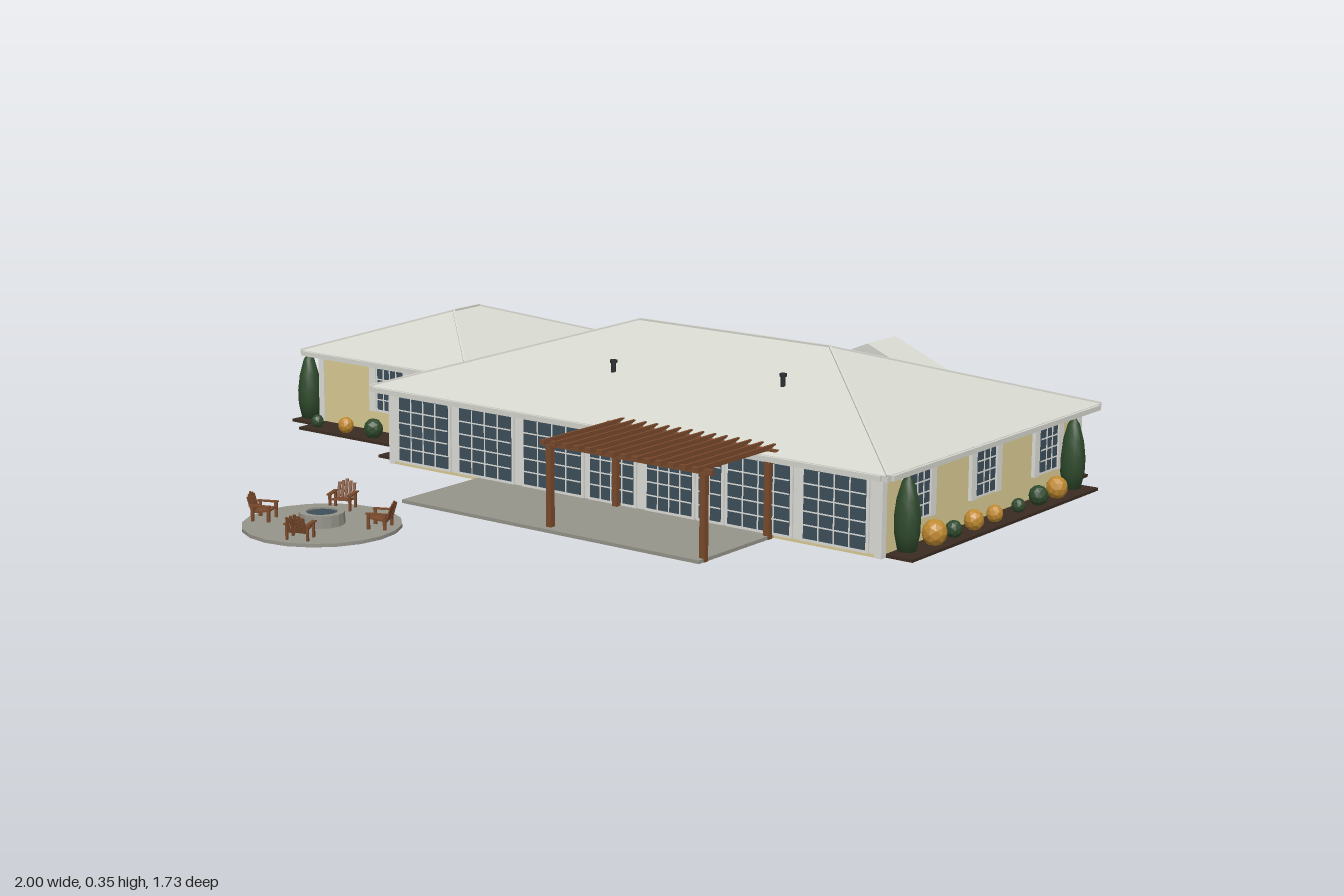
import * as THREE from 'three';

const mat = (name, color) => Object.assign(new THREE.MeshStandardMaterial({ color }), { name });
const M = {
  roof: mat('roof grey', 0xd6d7cf), wall: mat('cream yellow', 0xdccd94), trim: mat('trim white', 0xdededa),
  glass: mat('window blue', 0x3e4f5b), stone: mat('paving stone', 0x96948b), wood: mat('brown wood', 0x7a4a2c),
  soil: mat('dark mulch', 0x3b2c22), green: mat('leaf green', 0x2f4a2c), gold: mat('golden shrub', 0xc08a30),
  metal: mat('dark metal', 0x2b2f32),
};

function add(parent, name, geo, material, x = 0, y = 0, z = 0) {
  const m = new THREE.Mesh(geo, material);
  m.name = name;
  m.position.set(x, y, z);
  parent.add(m);
  return m;
}
function group(parent, name, x = 0, y = 0, z = 0, ry = 0) {
  const g = new THREE.Group();
  g.name = name;
  g.position.set(x, y, z);
  g.rotation.y = ry;
  parent.add(g);
  return g;
}
// Box given by its two extremes
const span = (p, name, m, x0, x1, y0, y1, z0, z1) =>
  add(p, name, new THREE.BoxGeometry(x1 - x0, y1 - y0, z1 - z0), m, (x0 + x1) / 2, (y0 + y1) / 2, (z0 + z1) / 2);

// Square bar laid between two points
function bar(p, name, m, a, b, w) {
  const A = new THREE.Vector3(...a), B = new THREE.Vector3(...b);
  const o = add(p, name, new THREE.BoxGeometry(w, w, A.distanceTo(B)), m, ...A.clone().add(B).multiplyScalar(0.5));
  o.lookAt(B);
}

// Four thin walls, open below
function walls(p, name, x0, x1, z0, z1, h) {
  const g = group(p, name), t = 0.008;
  span(g, 'frontWall', M.wall, x0, x1, 0, h, z1 - t, z1);
  span(g, 'backWall', M.wall, x0, x1, 0, h, z0, z0 + t);
  span(g, 'rightWall', M.wall, x0, x0 + t, 0, h, z0 + t, z1 - t);
  span(g, 'leftWall', M.wall, x1 - t, x1, 0, h, z0 + t, z1 - t);
  for (const x of [x0, x1]) for (const z of [z0, z1])
    add(g, 'cornerBoard', new THREE.BoxGeometry(0.018, h, 0.018), M.trim, x - Math.sign(x - (x0 + x1) / 2) * 0.006, h / 2, z - Math.sign(z - (z0 + z1) / 2) * 0.006);
}

// Hip roof: four slopes, eave slab, gutters and hip caps; r0 and r1 are the ridge ends
function hipRoof(p, name, x0, x1, z0, z1, r0, r1) {
  const g = group(p, name), y = 0.194;
  const a = [x0, y, z1], b = [x1, y, z1], c = [x1, y, z0], d = [x0, y, z0];
  const alongX = r0[0] !== r1[0];
  const tris = alongX
    ? [a, b, r1, a, r1, r0, b, c, r1, c, d, r0, c, r0, r1, d, a, r0]
    : [a, b, r1, b, c, r0, b, r0, r1, c, d, r0, d, a, r1, d, r1, r0];
  const geo = new THREE.BufferGeometry();
  geo.setAttribute('position', new THREE.Float32BufferAttribute(tris.flat(), 3));
  geo.computeVertexNormals();
  add(g, 'roofSlopes', geo, M.roof);
  span(g, 'eaves', M.roof, x0, x1, 0.18, y, z0, z1);
  for (const [z, s] of [[z0, -1], [z1, 1]])
    add(g, 'gutter', new THREE.BoxGeometry(x1 - x0 - 0.03, 0.012, 0.008), M.roof, (x0 + x1) / 2, 0.187, z + s * 0.003);
  for (const [x, s] of [[x0, -1], [x1, 1]])
    add(g, 'gutter', new THREE.BoxGeometry(0.008, 0.012, z1 - z0 - 0.03), M.roof, x + s * 0.003, 0.187, (z0 + z1) / 2);
  bar(g, 'ridgeCap', M.roof, r0, r1, 0.007);
  const ends = alongX ? [r0, r1, r1, r0] : [r1, r1, r0, r0];
  [a, b, c, d].forEach((q, i) => bar(g, 'hipCap', M.roof, q, ends[i], 0.006));
}

// Glazed opening facing +z, with glazing bars and optional shutters
function glazing(p, name, x, y, z, ry, w, h, cols, rows, shutters) {
  const g = group(p, name, x, y, z, ry);
  add(g, 'frame', new THREE.BoxGeometry(w + 0.014, h + 0.014, 0.006), M.trim, 0, 0, 0.003);
  add(g, 'glass', new THREE.BoxGeometry(w, h, 0.003), M.glass, 0, 0, 0.007);
  for (let i = 1; i < cols; i++)
    add(g, 'glazingBar', new THREE.BoxGeometry(0.003, h, 0.003), M.trim, -w / 2 + i * w / cols, 0, 0.0085);
  for (let i = 1; i < rows; i++)
    add(g, 'glazingBar', new THREE.BoxGeometry(w, 0.003, 0.003), M.trim, 0, -h / 2 + i * h / rows, 0.0085);
  if (shutters) for (const s of [-1, 1])
    add(g, 'shutter', new THREE.BoxGeometry(0.022, h + 0.014, 0.009), M.trim, s * (w / 2 + 0.017), 0, 0.005);
}

function lantern(p, x, y, z) {
  add(p, 'lantern', new THREE.BoxGeometry(0.01, 0.022, 0.012), M.metal, x, y, z - 0.006);
}

function shrub(p, x, z, r, m) {
  const s = add(p, 'shrub', new THREE.IcosahedronGeometry(r, 1).toNonIndexed(), m, x, r * 0.85 + 0.006, z);
  s.geometry.computeVertexNormals();
  s.rotation.y = x * 17 + z * 31;
  s.scale.set(0.92, 1, 0.92);
}

function cypress(p, x, z) {
  const prof = [[0, 0.006], [0.021, 0.012], [0.029, 0.05], [0.03, 0.085], [0.025, 0.125], [0.014, 0.165], [0, 0.186]];
  const geo = new THREE.LatheGeometry(prof.map(q => new THREE.Vector2(...q)), 10);
  add(p, 'cypress', geo, M.green, x, 0, z);
}

// Slatted garden chair facing +z
function chair(p, x, z, ry) {
  const g = group(p, 'gardenChair', x, 0.008, z, ry);
  const seat = add(g, 'seat', new THREE.BoxGeometry(0.04, 0.004, 0.042), M.wood, 0, 0.022, 0.002);
  seat.rotation.x = -0.15;
  for (const s of [-1, 1]) {
    add(g, 'armrest', new THREE.BoxGeometry(0.01, 0.003, 0.05), M.wood, s * 0.025, 0.036, 0);
    add(g, 'frontLeg', new THREE.BoxGeometry(0.005, 0.035, 0.007), M.wood, s * 0.024, 0.0175, 0.02);
    add(g, 'rearLeg', new THREE.BoxGeometry(0.005, 0.035, 0.007), M.wood, s * 0.024, 0.0175, -0.018);
  }
  for (let i = -2; i <= 2; i++) {
    const h = 0.046 - Math.abs(i) * 0.004;
    const slat = add(g, 'backSlat', new THREE.BoxGeometry(0.007, h, 0.003), M.wood, i * 0.009, 0.017 + h / 2, -0.026);
    slat.rotation.x = -0.3;
  }
}

export function createModel() {
  const root = new THREE.Group();
  root.name = 'house';
  const PI = Math.PI;

  // Main house and garage wing
  walls(root, 'mainWalls', -0.485, 0.93, -0.725, 0.135, 0.185);
  walls(root, 'garageWalls', -0.93, -0.487, -0.68, -0.085, 0.185);
  hipRoof(root, 'mainRoof', -0.52, 0.965, -0.76, 0.17, [-0.05, 0.345, -0.295], [0.505, 0.345, -0.295]);
  hipRoof(root, 'garageRoof', -0.965, -0.395, -0.71, -0.05, [-0.68, 0.29, -0.425], [-0.68, 0.29, -0.325]);

  // Glazed front
  span(root, 'frontPanelling', M.trim, -0.47, 0.915, 0.008, 0.18, 0.134, 0.138);
  for (const [x, w] of [[-0.37, 0.155], [-0.175, 0.16], [0.03, 0.17], [0.205, 0.125], [0.37, 0.125], [0.483, 0.06], [0.615, 0.165], [0.815, 0.16]])
    glazing(root, 'patioDoor', x, 0.093, 0.137, 0, w, 0.155, w > 0.1 ? 4 : 2, 5, false);

  // Shuttered windows
  for (const z of [-0.005, -0.285, -0.565]) glazing(root, 'sideWindow', 0.93, 0.118, z, PI / 2, 0.075, 0.105, 3, 4, true);
  for (const x of [0.75, 0.06, -0.25]) glazing(root, 'backWindow', x, 0.118, -0.725, PI, 0.085, 0.105, 3, 4, true);
  for (const z of [-0.24, -0.52]) glazing(root, 'garageSideWindow', -0.93, 0.118, z, -PI / 2, 0.075, 0.105, 3, 4, true);
  glazing(root, 'garageFrontWindow', -0.68, 0.118, -0.085, 0, 0.085, 0.105, 4, 4, true);

  // Garage doors
  for (const x of [-0.6, -0.81]) {
    span(root, 'garageDoor', M.trim, x - 0.09, x + 0.09, 0.004, 0.155, -0.688, -0.68);
    for (let i = 0; i < 4; i++)
      span(root, 'garageDoorPanel', M.trim, x - 0.083, x + 0.083, 0.01 + i * 0.036, 0.04 + i * 0.036, -0.691, -0.686);
  }
  for (const x of [-0.915, -0.705, -0.5]) lantern(root, x, 0.13, -0.68);

  // Entrance porch with gable
  const porch = group(root, 'porch');
  span(porch, 'porchWall', M.wall, 0.215, 0.505, 0, 0.2, -0.78, -0.72);
  const gable = (w, y0, y1, d) => new THREE.ExtrudeGeometry(
    new THREE.Shape([new THREE.Vector2(-w, y0), new THREE.Vector2(w, y0), new THREE.Vector2(0, y1)]), { depth: d, bevelEnabled: false });
  add(porch, 'gableFace', gable(0.155, 0.19, 0.254, 0.1), M.wall, 0.36, 0, -0.785);
  const roofShape = new THREE.Shape([[-0.185, 0.184], [-0.15, 0.184], [0, 0.25], [0.15, 0.184], [0.185, 0.184], [0.185, 0.198], [0, 0.276], [-0.185, 0.198]]
    .map(q => new THREE.Vector2(...q)));
  add(porch, 'porchRoof', new THREE.ExtrudeGeometry(roofShape, { depth: 0.125, bevelEnabled: false }), M.roof, 0.36, 0, -0.805);
  for (const x of [0.222, 0.498]) span(porch, 'porchCornerBoard', M.trim, x - 0.01, x + 0.01, 0, 0.19, -0.784, -0.765);
  glazing(porch, 'frontDoor', 0.36, 0.088, -0.78, PI, 0.12, 0.14, 2, 1, false);
  for (const x of [0.265, 0.455]) lantern(porch, x, 0.13, -0.78);
  span(porch, 'doorStep', M.stone, 0.27, 0.45, 0, 0.012, -0.87, -0.775);

  // Roof vents
  for (const [x, y, z] of [[0.055, 0.265, -0.055], [0.505, 0.282, -0.105]]) {
    add(root, 'ventPipe', new THREE.CylinderGeometry(0.006, 0.006, 0.04, 8), M.metal, x, y + 0.008, z);
    add(root, 'ventCap', new THREE.CylinderGeometry(0.009, 0.009, 0.007, 8), M.metal, x, y + 0.027, z);
  }
  add(root, 'roofVent', new THREE.BoxGeometry(0.045, 0.014, 0.042), M.metal, 0.292, 0.283, -0.5).rotation.x = -0.32;

  // Planting beds
  const beds = [[0.93, 1, -0.695, 0.12], [-1, -0.93, -0.67, -0.05], [-0.92, -0.55, -0.085, 0.008],
    [-0.55, -0.485, -0.085, 0.11], [-0.46, 0.18, -0.8, -0.725], [0.555, 0.915, -0.8, -0.725]];
  for (const [x0, x1, z0, z1] of beds) span(root, 'plantingBed', M.soil, x0, x1, 0, 0.007, z0, z1);

  // Shrubs and cypresses
  const sides = [[-0.02, 0.031, 1], [-0.1, 0.021, 0], [-0.185, 0.025, 1], [-0.275, 0.021, 1], [-0.38, 0.018, 0], [-0.47, 0.025, 0], [-0.555, 0.028, 1]];
  for (const [z, r, gold] of sides) shrub(root, 0.968, z, r, gold ? M.gold : M.green);
  for (const [z, r, gold] of sides.slice(1)) shrub(root, -0.97, z - 0.01, r, gold ? M.gold : M.green);
  [[-0.885, 0.018, 0], [-0.785, 0.022, 1], [-0.69, 0.027, 0], [-0.6, 0.024, 1]]
    .forEach(([x, r, gold]) => shrub(root, x, -0.024, r, gold ? M.gold : M.green));
  [[-0.35, 0.026, 1], [-0.24, 0.03, 1], [-0.165, 0.022, 0], [-0.09, 0.025, 1], [-0.02, 0.026, 0], [0.06, 0.024, 1], [0.13, 0.021, 1], [0.61, 0.026, 0], [0.69, 0.024, 1], [0.78, 0.021, 1]]
    .forEach(([x, r, gold]) => shrub(root, x, -0.77, r, gold ? M.gold : M.green));
  for (const [x, z] of [[0.96, 0.08], [0.96, -0.64], [0.87, -0.765], [-0.42, -0.765], [-0.965, -0.63], [-0.965, -0.08], [-0.515, 0.06]])
    cypress(root, x, z);

  // Patio and pergola
  span(root, 'patio', M.stone, -0.2, 0.65, 0, 0.008, 0.135, 0.412);
  const pergola = group(root, 'pergola');
  for (const z of [0.15, 0.388]) {
    for (const x of [0.223, 0.645]) span(pergola, 'post', M.wood, x - 0.007, x + 0.007, 0, 0.196, z - 0.007, z + 0.007);
    span(pergola, 'beam', M.wood, 0.198, 0.668, 0.192, 0.204, z - 0.005, z + 0.005);
  }
  for (let i = 0; i < 14; i++) {
    const x = 0.224 + i * 0.0323;
    span(pergola, 'rafter', M.wood, x - 0.003, x + 0.003, 0.2, 0.211, 0.125, 0.415);
  }

  // Fire pit circle with chairs
  const pit = group(root, 'firePitArea', -0.195, 0, 0.683);
  add(pit, 'paving', new THREE.CylinderGeometry(0.18, 0.18, 0.008, 20), M.stone, 0, 0.004, 0);
  const ring = [[0.036, 0.008], [0.052, 0.008], [0.052, 0.036], [0.036, 0.036], [0.036, 0.008]].map(q => new THREE.Vector2(...q));
  const ringGeo = new THREE.LatheGeometry(ring, 16).toNonIndexed();
  ringGeo.computeVertexNormals();
  add(pit, 'pitRing', ringGeo, M.stone);
  add(pit, 'pitBowl', new THREE.CylinderGeometry(0.037, 0.037, 0.024, 16), M.glass, 0, 0.02, 0);
  for (let i = 0; i < 4; i++) {
    const a = 0.41 + i * PI / 2;
    chair(pit, Math.sin(a) * 0.138, Math.cos(a) * 0.138, a + PI);
  }
  return root;
}
